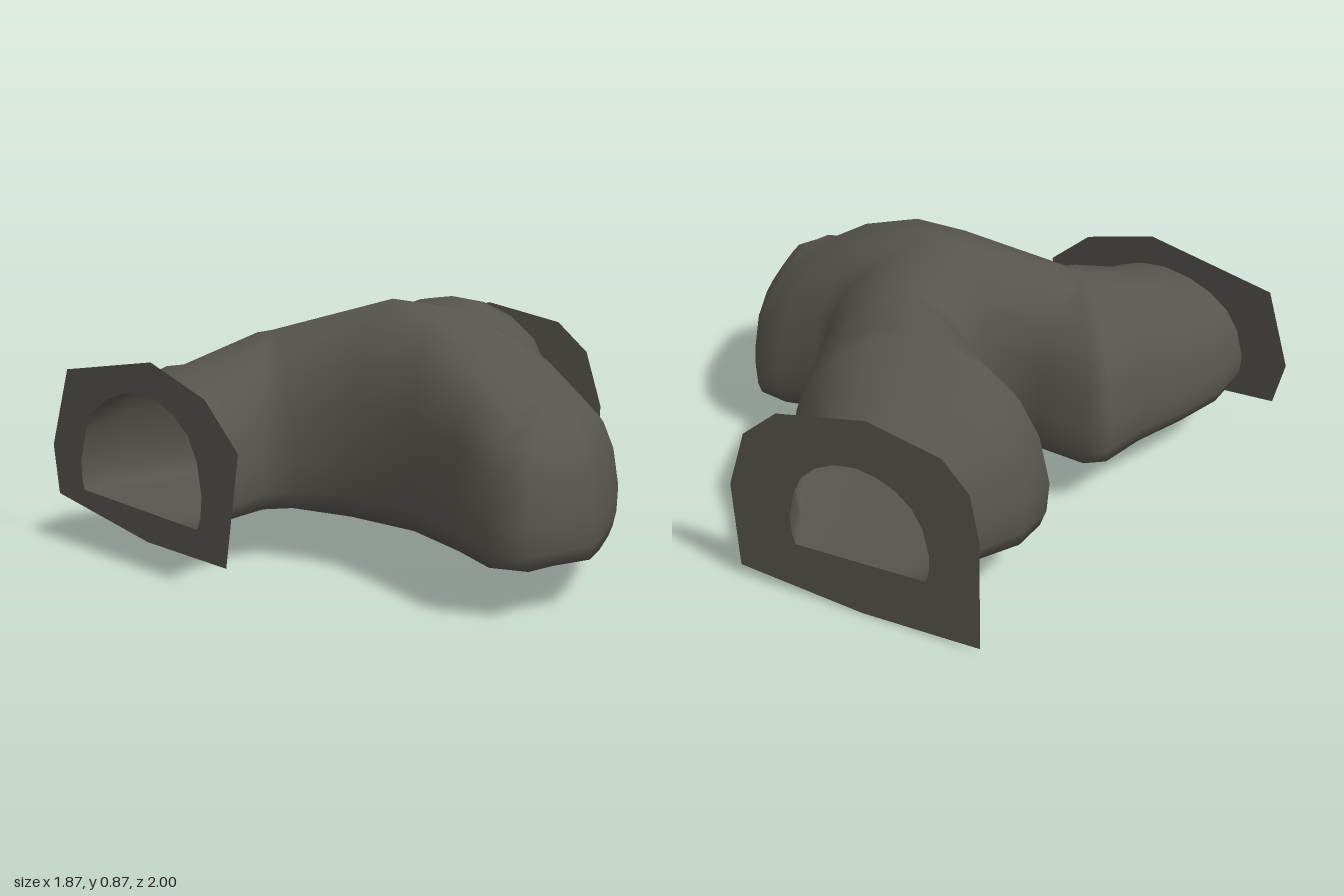
import * as THREE from 'three';
import { mergeVertices } from 'three/addons/utils/BufferGeometryUtils.js';

// Ridge points of the three tunnel arms and their junction: x, y, z
const RIDGE = {
  W0: [-0.846, 0.58, -0.47], W1: [-0.6, 0.65, -0.46], W2: [-0.3, 0.745, -0.34],
  J: [-0.13, 0.865, 0.06],
  S1: [-0.16, 0.86, 0.25], S2: [-0.22, 0.755, 0.53], S3: [-0.27, 0.63, 0.74],
  E1: [0.2, 0.785, 0.06], E2: [0.49, 0.81, -0.1], E3: [0.7, 0.685, -0.14], E0: [0.91, 0.56, -0.15],
};

// Slightly leaning planes of the two openings: x from z and y
const OPENING = {
  W0: (z, y) => -0.942 - 0.2 * z + 0.05 * (y - 0.09),
  E0: (z, y) => 0.897 + 0.03 * y + 0.02 * (z + 0.57),
};

// Each wall runs from one arm to the next: ridge point, outline x, outline z
const WALLS = [
  [['W0', -0.907, -0.13], ['W1', -0.7, -0.135], ['W2', -0.6, -0.14], ['W2', -0.52, -0.07],
    ['J', -0.49, 0.14], ['S1', -0.5, 0.4], ['S2', -0.6, 0.63], ['S3', -0.69, 0.79],
    ['S3', -0.65, 0.91], ['S3', -0.54, 0.94], ['S3', -0.41, 0.998]],
  [['S3', -0.41, 0.998], ['S3', -0.29, 0.97], ['S3', -0.12, 0.915], ['S3', 0.01, 0.865],
    ['S3', 0.13, 0.78], ['S2', 0.155, 0.66], ['S1', 0.125, 0.52], ['J', 0.16, 0.47],
    ['E1', 0.31, 0.4], ['E2', 0.52, 0.33], ['E2', 0.69, 0.25], ['E3', 0.8, 0.16],
    ['E0', 0.91, 0.1]],
  [['E0', 0.91, -0.4], ['E3', 0.75, -0.48], ['E2', 0.6, -0.58], ['E2', 0.46, -0.59],
    ['E2', 0.38, -0.5], ['E1', 0.33, -0.3], ['E1', 0.14, -0.19], ['J', 0.02, -0.16],
    ['W2', 0.03, -0.35], ['W2', 0.06, -0.54], ['W2', 0.01, -0.61], ['W2', -0.18, -0.66],
    ['W1', -0.37, -0.74], ['W1', -0.58, -0.81], ['W0', -0.783, -0.82]],
];

// Half arch: fraction outward, fraction of height
const PROFILE = [[0, 1], [0.3, 0.965], [0.56, 0.88], [0.78, 0.74], [0.92, 0.55],
  [1, 0.28], [0.985, 0.1], [0.94, 0], [0.5, 0], [0, 0]];

function section([key, ox, oz]) {
  const [rx, ry, rz] = RIDGE[key];
  return PROFILE.map(([w, h]) => {
    const x = rx + (ox - rx) * w, z = rz + (oz - rz) * w;
    const floor = 0.18 - 0.025 * z + 0.02 * Math.max(0, x);
    const y = floor + (ry - floor) * h;
    return new THREE.Vector3(OPENING[key] ? OPENING[key](z, y) : x, y, z);
  });
}

// Hollow cave shell: three lofted walls sharing their ridge and floor seams
function shellGeometry() {
  const positions = [], index = [];
  const n = PROFILE.length;
  for (const wall of WALLS) {
    const base = positions.length / 3;
    wall.forEach((station, i) => {
      for (const p of section(station)) positions.push(p.x, p.y, p.z);
      if (i === 0) return;
      for (let j = 0; j < n - 1; j++) {
        const a = base + (i - 1) * n + j, b = a + n;
        index.push(a, a + 1, b, b, a + 1, b + 1);
      }
    });
  }
  const geo = new THREE.BufferGeometry();
  geo.setAttribute('position', new THREE.Float32BufferAttribute(positions, 3));
  geo.setIndex(index);
  const merged = mergeVertices(geo, 1e-3);
  merged.computeVertexNormals();
  return merged;
}

// Flat collar around an opening, drawn in (z, y) and laid onto the opening's plane
function collarGeometry(key, outline, sideA, sideB) {
  const shape = new THREE.Shape(outline.map(([z, y]) => new THREE.Vector2(z, y)));
  const arch = (station) => section(station).slice(0, 8).map((p) => new THREE.Vector2(p.z, p.y));
  shape.holes.push(new THREE.Path([...arch(sideA), ...arch(sideB).slice(1).reverse()]));
  const geo = new THREE.ShapeGeometry(shape);
  const pos = geo.attributes.position;
  for (let i = 0; i < pos.count; i++) {
    const z = pos.getX(i), y = pos.getY(i);
    pos.setXYZ(i, OPENING[key](z, y), y, z);
  }
  geo.computeVertexNormals();
  return geo;
}

export function createModel() {
  const group = new THREE.Group();
  group.name = 'caveTunnel';
  const rock = new THREE.MeshStandardMaterial({ color: 0x58544e, side: THREE.DoubleSide });
  rock.name = 'darkRock';

  const add = (name, geo) => {
    const mesh = new THREE.Mesh(geo, rock);
    mesh.name = name;
    group.add(mesh);
  };

  add('caveShell', shellGeometry());

  // Collar of the left opening
  add('leftEntranceCollar', collarGeometry('E0',
    [[0.31, 0.04], [0.32, 0.36], [0.25, 0.57], [0.12, 0.68], [-0.2, 0.74], [-0.45, 0.68],
      [-0.54, 0.58], [-0.57, 0.42], [-0.57, 0.01], [-0.15, 0]],
    WALLS[2][0], WALLS[1].at(-1)));

  // Collar of the right opening, turned slightly
  add('rightEntranceCollar', collarGeometry('W0',
    [[0, 0.09], [0.05, 0.46], [-0.12, 0.605], [-0.41, 0.69], [-0.91, 0.61],
      [-1, 0.33], [-0.96, 0.16], [-0.42, 0.09]],
    WALLS[0][0], WALLS[2].at(-1)));

  return group;
}
